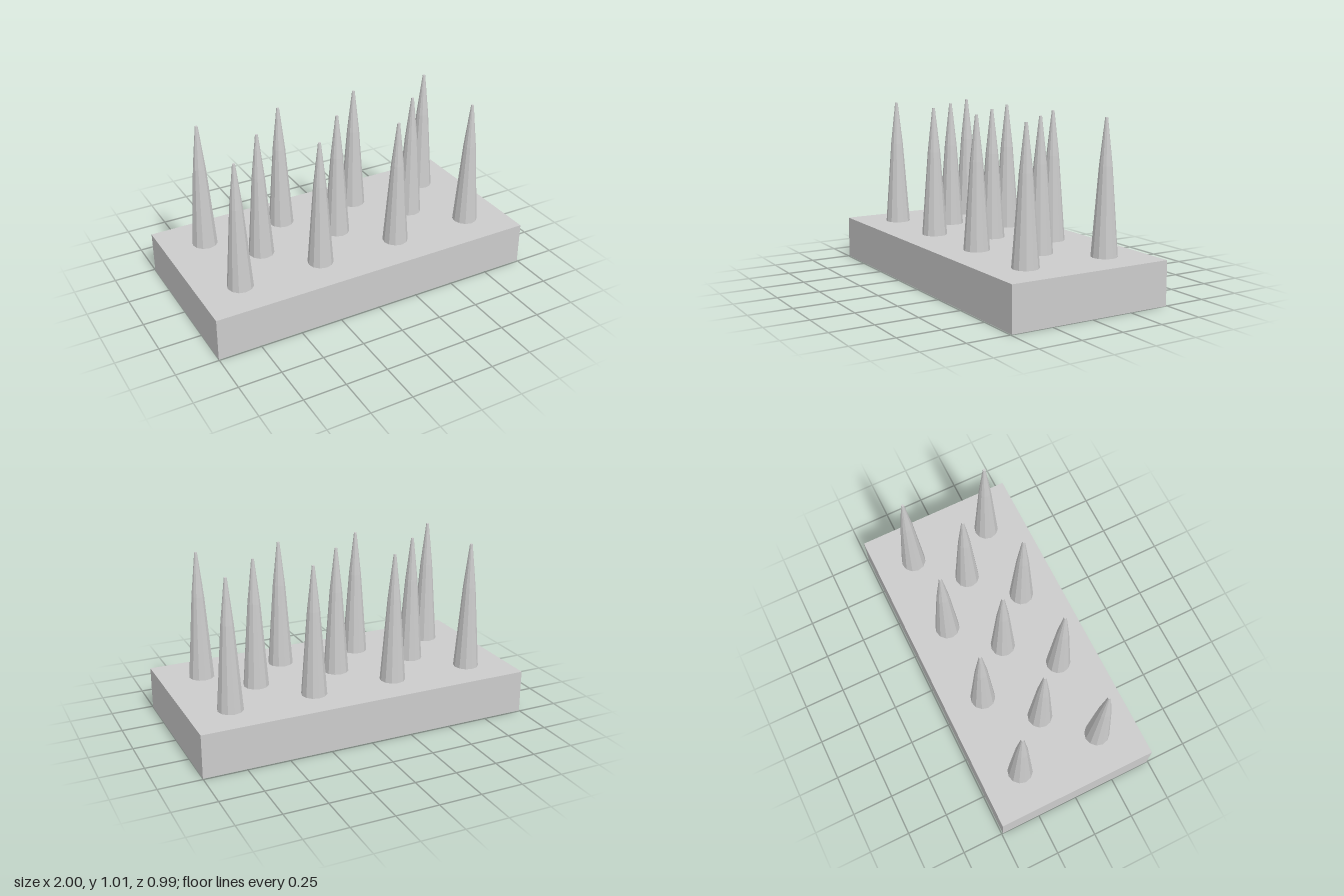
import * as THREE from 'three';

const BASE_TOP = 0.255;

export function createModel() {
  const model = new THREE.Group();
  model.name = 'spikeBoard';
  const material = new THREE.MeshStandardMaterial({ color: 0xcccccc, flatShading: true });

  // Slab the spikes stand on
  const base = new THREE.Mesh(new THREE.BoxGeometry(2, BASE_TOP, 0.985), material);
  base.name = 'base';
  base.position.y = BASE_TOP / 2;
  model.add(base);

  // Faceted spike: gentle taper, then a steeper one to a tiny blunt tip
  const profile = [[0, 0], [0.075, 0], [0.037, 0.5], [0.008, 0.76], [0, 0.76]]
    .map(([r, y]) => new THREE.Vector2(r, y));
  const spikeGeometry = new THREE.LatheGeometry(profile, 12);

  // Staggered rows: four, three, four
  const outer = [-0.753, -0.251, 0.251, 0.753];
  const rows = [
    { name: 'backSpike', z: -0.257, xs: outer },
    { name: 'middleSpike', z: 0, xs: [-0.505, -0.004, 0.505] },
    { name: 'frontSpike', z: 0.254, xs: outer },
  ];
  for (const { name, z, xs } of rows) {
    xs.forEach((x, i) => {
      const spike = new THREE.Mesh(spikeGeometry, material);
      spike.name = `${name}${i + 1}`;
      spike.position.set(x, BASE_TOP, z);
      model.add(spike);
    });
  }
  return model;
}
